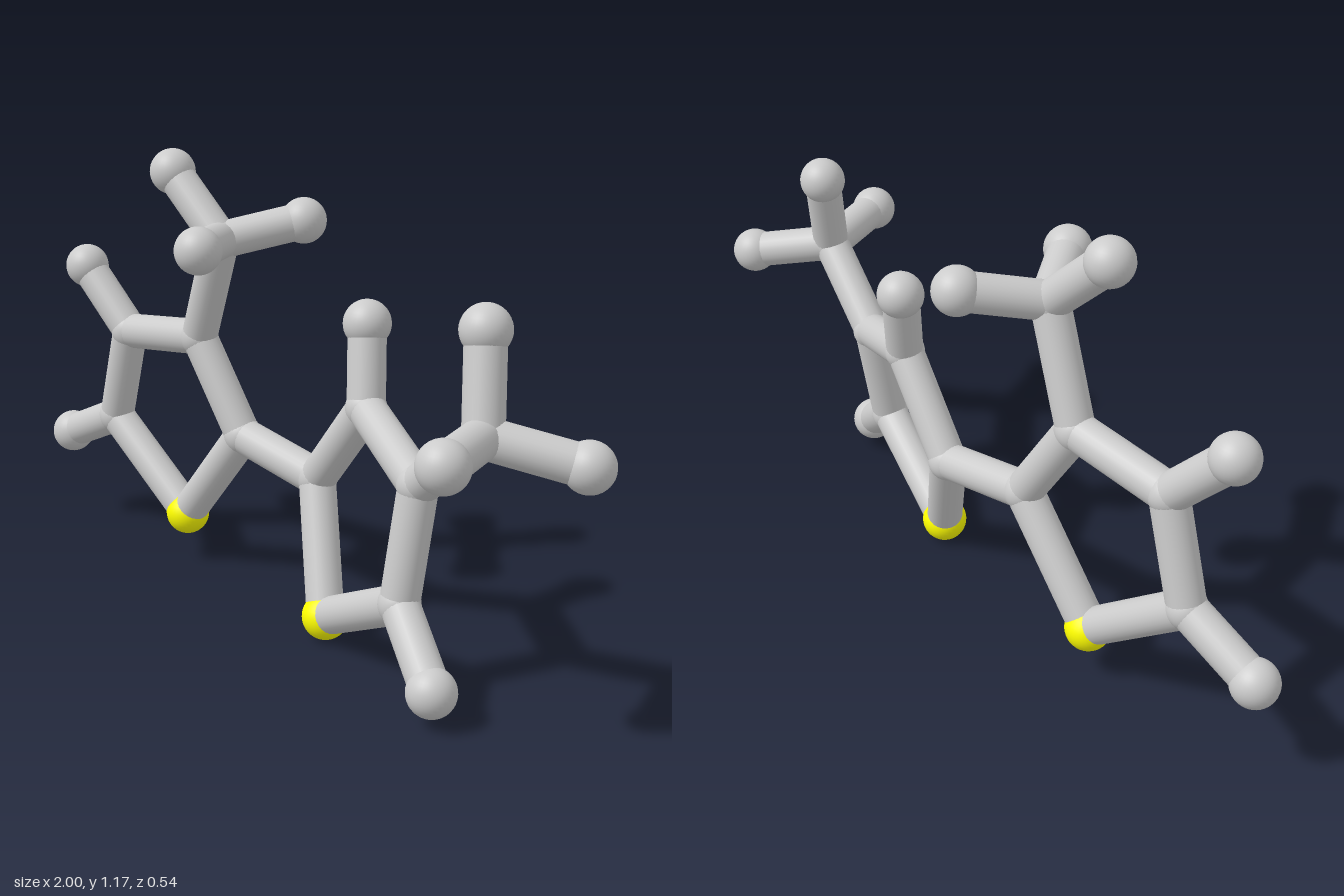
import * as THREE from 'three';

const BOND_RADIUS = 0.048;
const RADII = { carbon: 0.052, hydrogen: 0.06, sulfur: 0.06 };

// Atom centres, grouped by element; a = ring on the -x side, b = ring on the +x side
const ATOMS = {
  sulfur: {
    aS: [-0.45, 0.135, -0.045],
    bS: [0.21, 0.06, -0.015],
  },
  carbon: {
    aC2: [-0.21, 0.42, -0.065],
    aC3: [-0.36, 0.665, -0.03],
    aC4: [-0.645, 0.63, 0.01],
    aC5: [-0.735, 0.36, 0.005],
    aMethyl: [-0.235, 0.95, -0.015],
    bC2: [0.065, 0.37, -0.1],
    bC3: [0.26, 0.605, -0.095],
    bC4: [0.545, 0.505, -0.015],
    bC5: [0.54, 0.22, 0.03],
    bMethyl: [0.765, 0.68, 0],
  },
  hydrogen: {
    aH4: [-0.8, 0.795, 0.05],
    aH5: [-0.94, 0.265, 0.033],
    aM1: [-0.4, 1.11, 0.02],
    aM2: [-0.085, 0.968, 0.158],
    aM3: [-0.135, 0.995, -0.207],
    bH3: [0.215, 0.803, -0.132],
    bH5: [0.72, 0.082, 0.087],
    bM1: [0.715, 0.903, -0.045],
    bM2: [0.94, 0.63, -0.147],
    bM3: [0.868, 0.685, 0.21],
  },
};

const BONDS = [
  // rings
  'aS aC2', 'aC2 aC3', 'aC3 aC4', 'aC4 aC5', 'aC5 aS',
  'bS bC2', 'bC2 bC3', 'bC3 bC4', 'bC4 bC5', 'bC5 bS',
  // bridge and methyl arms
  'aC2 bC2', 'aC3 aMethyl', 'bC4 bMethyl',
  // hydrogens
  'aC4 aH4', 'aC5 aH5', 'bC3 bH3', 'bC5 bH5',
  'aMethyl aM1', 'aMethyl aM2', 'aMethyl aM3',
  'bMethyl bM1', 'bMethyl bM2', 'bMethyl bM3',
];

export function createModel() {
  const model = new THREE.Group();
  model.name = 'molecule';
  const grey = new THREE.MeshStandardMaterial({ color: 0xcccccc });
  const yellow = new THREE.MeshStandardMaterial({ color: 0xffff00 });
  const centres = {};

  // Atoms: one sphere each
  for (const [element, atoms] of Object.entries(ATOMS)) {
    const group = new THREE.Group();
    group.name = `${element}Atoms`;
    const sphere = new THREE.SphereGeometry(RADII[element], 32, 20);
    for (const [id, position] of Object.entries(atoms)) {
      const atom = new THREE.Mesh(sphere, element === 'sulfur' ? yellow : grey);
      atom.name = `${element}Atom`;
      atom.position.set(...position);
      centres[id] = atom.position;
      group.add(atom);
    }
    model.add(group);
  }

  // Bonds: a cylinder from centre to centre
  const bonds = new THREE.Group();
  bonds.name = 'bonds';
  const up = new THREE.Vector3(0, 1, 0);
  for (const pair of BONDS) {
    const [from, to] = pair.split(' ').map((id) => centres[id]);
    const axis = to.clone().sub(from);
    const length = axis.length();
    const bond = new THREE.Mesh(
      new THREE.CylinderGeometry(BOND_RADIUS, BOND_RADIUS, length, 24, 1, true),
      grey
    );
    bond.name = 'bond';
    bond.position.copy(from).add(to).multiplyScalar(0.5);
    bond.quaternion.setFromUnitVectors(up, axis.normalize());
    bonds.add(bond);
  }
  model.add(bonds);
  return model;
}
